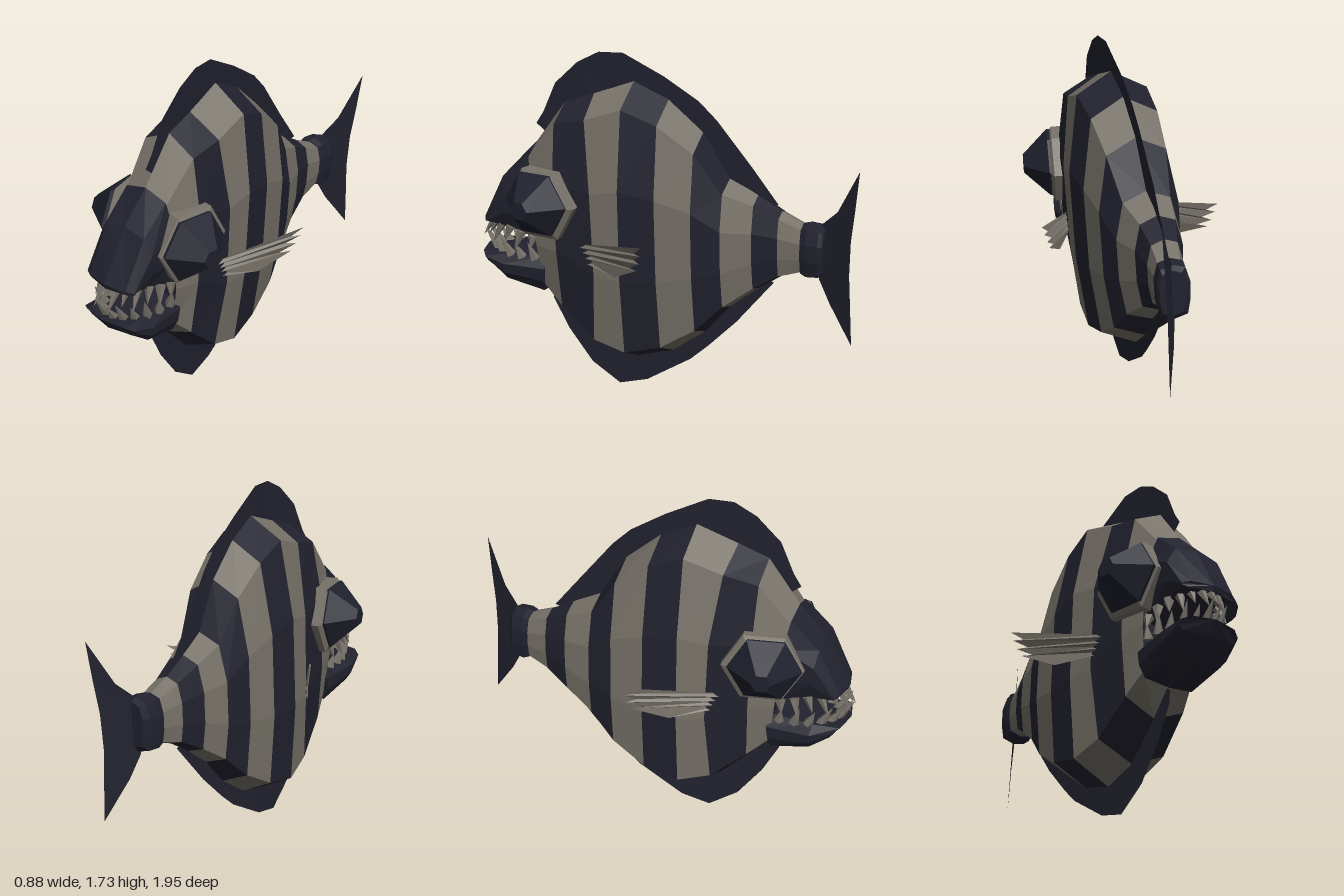
import * as THREE from 'three';
import { mergeGeometries } from 'three/addons/utils/BufferGeometryUtils.js';

const material = (name, color) => {
  const m = new THREE.MeshStandardMaterial({ color, side: THREE.DoubleSide });
  m.name = name;
  return m;
};

// Swimming curve of the spine: [z, x]
const SPINE = [[-1, 0.065], [-0.8, -0.027], [-0.6, -0.042], [-0.48, -0.045], [-0.34, -0.03],
  [-0.04, -0.01], [0.13, 0.007], [0.3, 0.028], [0.47, 0.04], [0.87, 0.055], [1.1, 0.06]];
const ROLL = 0.05;

function spineX(z) {
  let i = 0;
  while (i < SPINE.length - 2 && z > SPINE[i + 1][0]) i++;
  const [a, b] = [SPINE[i], SPINE[i + 1]];
  return a[1] + (b[1] - a[1]) * (z - a[0]) / (b[0] - a[0]);
}

// Bends a symmetric part along the spine, rolls it slightly and facets it
function bend(source, side = 1) {
  const g = source.index ? source.toNonIndexed() : source;
  const p = g.attributes.position;
  for (let i = 0; i < p.count; i++) {
    const x = p.getX(i) * side, y = p.getY(i), z = p.getZ(i);
    p.setXYZ(i, x + spineX(z) + ROLL * (y - 0.9), y - ROLL * x, z);
  }
  if (side < 0) {
    for (let i = 0; i < p.count; i += 3) {
      const b = [p.getX(i + 1), p.getY(i + 1), p.getZ(i + 1)];
      p.setXYZ(i + 1, p.getX(i + 2), p.getY(i + 2), p.getZ(i + 2));
      p.setXYZ(i + 2, ...b);
    }
  }
  g.computeVertexNormals();
  return g;
}

function fromTriangles(tris) {
  const g = new THREE.BufferGeometry();
  g.setAttribute('position', new THREE.Float32BufferAttribute(tris.flat(2), 3));
  return g;
}

// Cross-section: half width factor and height fraction, top to bottom
const PROFILE = [[0, 1], [0.74, 0.93], [1, 0.66], [0.98, 0.34], [0.8, 0.065], [0, 0]];

function ring([zTop, yTop, zBottom, yBottom, width, bow = 0, nose = 0]) {
  const point = (s) => ([k, f]) => [
    s * k * width,
    yBottom + (yTop - yBottom) * f,
    zBottom + (zTop - zBottom) * f - bow * 4 * f * (1 - f) - nose * k * k,
  ];
  return [...PROFILE.map(point(-1)), ...PROFILE.slice(1, -1).reverse().map(point(1))];
}

// Skins sections ordered from back to front
function loft(sections, capBack = false, capFront = false) {
  const rings = sections.map(ring), n = rings[0].length, tris = [];
  for (let i = 0; i < rings.length - 1; i++) {
    for (let j = 0; j < n; j++) {
      const k = (j + 1) % n;
      const a = rings[i][j], b = rings[i][k], c = rings[i + 1][k], d = rings[i + 1][j];
      tris.push([a, b, d], [b, c, d]);
    }
  }
  const first = rings[0], last = rings[rings.length - 1];
  for (let j = 1; j < n - 1; j++) {
    if (capBack) tris.push([first[0], first[j + 1], first[j]]);
    if (capFront) tris.push([last[0], last[j], last[j + 1]]);
  }
  return bend(fromTriangles(tris));
}

// Flat fin between two matching [z, y] edges
function finStrip(outer, inner) {
  const v = ([z, y]) => [0, y, z], tris = [];
  for (let i = 0; i < outer.length - 1; i++) {
    const a = v(outer[i]), b = v(outer[i + 1]), c = v(inner[i + 1]), d = v(inner[i]);
    tris.push([a, b, c], [a, c, d]);
  }
  return bend(fromTriangles(tris));
}

const shrink = (points) => points.map(([z, y]) => [0.05 + (z - 0.05) * 0.75, 0.87 + (y - 0.87) * 0.75]);

// One tooth from its root towards a direction
function tooth(root, direction, length, radius) {
  const dir = new THREE.Vector3(...direction).normalize();
  const g = new THREE.ConeGeometry(radius, length, 5).translate(0, length / 2 - 0.015, 0);
  g.applyQuaternion(new THREE.Quaternion().setFromUnitVectors(new THREE.Vector3(0, 1, 0), dir));
  return bend(g.translate(...root));
}

// Teeth set along a U-shaped jaw edge; sign +1 points up, -1 down
function toothRow(count, sign, yFront, yBack) {
  const teeth = [];
  for (let i = 0; i < count; i++) {
    const t = (i / (count - 1)) * 2 - 1, a = Math.abs(t);
    const x = 0.145 * Math.sin(t * Math.PI / 2);
    const z = 0.62 + 0.26 * Math.cos(t * Math.PI / 2);
    const y = yFront + (yBack - yFront) * a * a;
    const length = (i % 2 ? 0.15 : 0.115) * (1 - 0.35 * a);
    teeth.push(tooth([x, y, z], [t * 0.3, sign, 0.75 * (1 - a * 0.7)], length, 0.026));
  }
  return mergeGeometries(teeth);
}

const lathe = (points) => new THREE.LatheGeometry(points.map(([r, h]) => new THREE.Vector2(r, h)), 6)
  .rotateZ(-Math.PI / 2).rotateY(-0.2);

export function createModel() {
  const dark = material('midnight', 0x22222f);
  const light = material('warm grey', 0x78736a);
  const eyeDark = material('eye black', 0x1e202c);
  const model = new THREE.Group();
  model.name = 'stripedFish';
  const add = (name, geometry, mat) => {
    const mesh = new THREE.Mesh(geometry, mat);
    mesh.name = name;
    model.add(mesh);
  };

  // Body stripes: [zTop, yTop, zBottom, yBottom, halfWidth, bow]
  const sections = [
    [-0.71, 0.96, -0.71, 0.72, 0.072],
    [-0.6, 1.01, -0.6, 0.68, 0.085],
    [-0.48, 1.08, -0.48, 0.6, 0.115],
    [-0.34, 1.15, -0.34, 0.49, 0.155],
    [-0.21, 1.37, -0.21, 0.34, 0.195],
    [-0.04, 1.52, -0.04, 0.22, 0.22],
    [0.13, 1.6, 0.14, 0.17, 0.235],
    [0.33, 1.53, 0.31, 0.23, 0.22, 0.05],
    [0.48, 1.48, 0.47, 0.4, 0.195],
    [0.64, 1.27, 0.57, 0.52, 0.16],
  ];
  for (let i = 0; i < sections.length - 1; i++) {
    const isLight = i % 2 === 0;
    add(isLight ? 'lightStripe' : 'darkStripe', loft([sections[i], sections[i + 1]]), isLight ? light : dark);
  }
  add('throat', loft([[0.63, 1.26, 0.55, 0.53, 0.15], [0.635, 1.265, 0.565, 0.525, 0.157]], false, true), dark);

  // Tail root
  add('tailRoot', loft([[-0.82, 0.95, -0.82, 0.73, 0.06], [-0.8, 0.97, -0.8, 0.705, 0.078],
    [-0.74, 0.975, -0.74, 0.7, 0.08], [-0.71, 0.965, -0.71, 0.715, 0.075]], true, true), dark);

  // Head and lower jaw
  add('head', loft([[0.64, 1.27, 0.57, 0.77, 0.158], [0.78, 1.13, 0.75, 0.83, 0.155],
    [0.915, 0.89, 0.905, 0.862, 0.145, 0, 0.04]], true, true), dark);
  add('lowerJaw', loft([[0.55, 0.725, 0.58, 0.515, 0.157], [0.78, 0.715, 0.77, 0.57, 0.175],
    [0.935, 0.71, 0.89, 0.645, 0.155, 0, 0.04]], true, true), dark);

  // Teeth
  add('upperTeeth', toothRow(13, -1, 0.87, 0.8), light);
  add('lowerTeeth', toothRow(12, 1, 0.71, 0.715), light);

  // Dorsal and belly fins
  const dorsal = [[0.64, 1.36], [0.6, 1.42], [0.53, 1.57], [0.41, 1.68], [0.3, 1.735], [0.18, 1.735],
    [-0.02, 1.63], [-0.19, 1.52], [-0.28, 1.43], [-0.45, 1.21], [-0.58, 1.04]];
  const belly = [[0.59, 0.5], [0.59, 0.44], [0.51, 0.28], [0.39, 0.11], [0.245, 0.005], [0.1, 0.04],
    [-0.13, 0.18], [-0.22, 0.26], [-0.37, 0.41], [-0.56, 0.64]];
  add('dorsalFin', finStrip(dorsal, shrink(dorsal)), dark);
  add('bellyFin', finStrip(belly, shrink(belly)), dark);

  // Tail fin
  add('tailFin', finStrip(
    [[-1, 1.27], [-0.98, 1.08], [-0.96, 0.92], [-0.955, 0.75], [-0.965, 0.58], [-0.975, 0.4]],
    [[-1, 1.27], [-0.885, 1.05], [-0.79, 0.96], [-0.79, 0.69], [-0.85, 0.58], [-0.975, 0.4]]), dark);

  for (const side of [1, -1]) {
    const label = side > 0 ? 'left' : 'right';

    // Eye and eyelid
    const eye = lathe([[0.15, -0.12], [0.175, 0], [0.048, 0.13], [0, 0.13]]);
    add(label + 'Eye', bend(eye.translate(0.23, 1.02, 0.555), side), eyeDark);
    const lid = lathe([[0.19, -0.1], [0.195, 0.005], [0.165, 0.02]]);
    add(label + 'Eyelid', bend(lid.translate(0.205, 1.015, 0.54), side), light);

    // Pleated pectoral fin: rays alternate with folds set back from the tips
    const tips = [[0.44, 0.92, -0.06], [0.4, 0.875, -0.01], [0.43, 0.875, -0.05], [0.38, 0.835, 0],
      [0.415, 0.83, -0.04], [0.36, 0.785, 0.03], [0.4, 0.79, -0.02], [0.31, 0.71, 0.13]];
    const roots = tips.map((_, i) => [0.19 + (i % 2) * 0.015, 0.82 - i * 0.013, 0.35 - i * 0.005]);
    const tris = [];
    for (let i = 0; i < tips.length - 1; i++) {
      tris.push([roots[i], tips[i], tips[i + 1]], [roots[i], tips[i + 1], roots[i + 1]]);
    }
    add(label + 'PectoralFin', bend(fromTriangles(tris), side), light);
  }
  return model;
}
